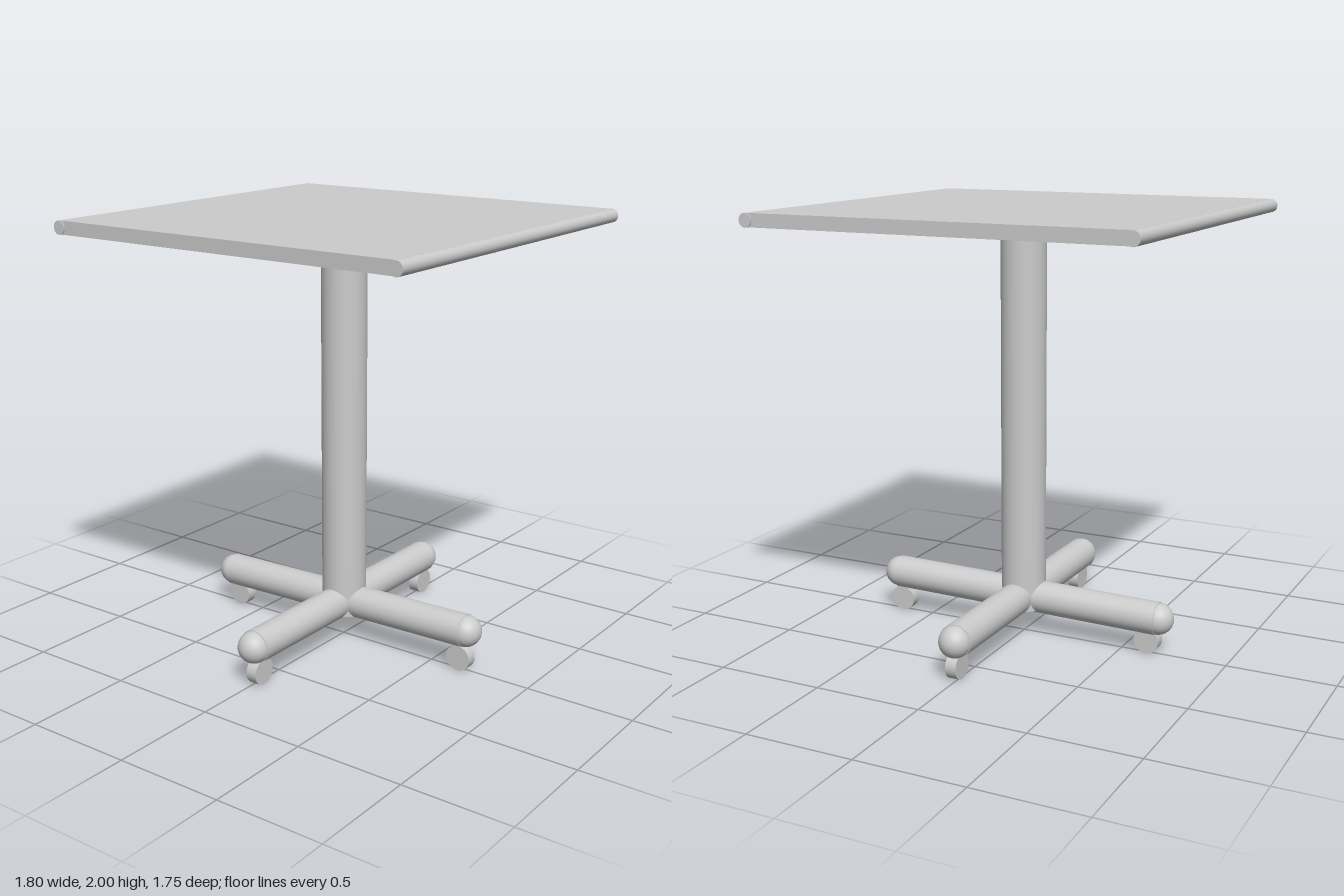
import * as THREE from 'three';

const material = new THREE.MeshStandardMaterial({ color: 0xcccccc });

function add(parent, name, geometry, x, y, z) {
  const mesh = new THREE.Mesh(geometry, material);
  mesh.name = name;
  mesh.position.set(x, y, z);
  parent.add(mesh);
  return mesh;
}

// One base leg: tube from the column to its rounded end, with a disc wheel below
function addLeg(parent, name, end, wheel) {
  const leg = new THREE.Group();
  leg.name = name;
  const hub = new THREE.Vector3(0.005, 0.18, 0);
  const direction = end.clone().sub(hub);
  const middle = hub.clone().add(end).multiplyScalar(0.5);
  const tube = add(leg, 'legTube', new THREE.CylinderGeometry(0.076, 0.076, direction.length(), 32), ...middle);
  tube.quaternion.setFromUnitVectors(new THREE.Vector3(0, 1, 0), direction.clone().normalize());
  add(leg, 'legEnd', new THREE.SphereGeometry(0.073, 32, 20), ...end);

  const disc = add(leg, 'wheel', new THREE.CylinderGeometry(0.06, 0.06, 0.052, 32), ...wheel);
  if (Math.abs(direction.x) > Math.abs(direction.z)) disc.rotation.x = Math.PI / 2;
  else disc.rotation.z = Math.PI / 2;
  parent.add(leg);
}

export function createModel() {
  const model = new THREE.Group();
  model.name = 'pedestalTable';

  // Table top with rounded rails along both sides
  const top = new THREE.Group();
  top.name = 'tableTop';
  add(top, 'topPanel', new THREE.BoxGeometry(1.74, 0.06, 1.74), 0, 1.97, 0);
  for (const side of [-1, 1]) {
    const rail = add(top, 'edgeRail', new THREE.CylinderGeometry(0.031, 0.031, 1.75, 24), side * 0.868, 1.969, 0);
    rail.rotation.x = Math.PI / 2;
  }
  model.add(top);

  // Column
  add(model, 'column', new THREE.CylinderGeometry(0.104, 0.104, 1.82, 48), 0.003, 1.035, 0);

  // Cross base; the side-to-side pair leans slightly
  const base = new THREE.Group();
  base.name = 'base';
  const v = (x, y, z) => new THREE.Vector3(x, y, z);
  addLeg(base, 'leftLeg', v(0.678, 0.19, 0), v(0.655, 0.06, 0.003));
  addLeg(base, 'rightLeg', v(-0.674, 0.168, 0), v(-0.625, 0.06, 0.003));
  addLeg(base, 'frontLeg', v(0.005, 0.18, 0.674), v(0.012, 0.06, 0.648));
  addLeg(base, 'backLeg', v(0.005, 0.18, -0.67), v(0.012, 0.06, -0.643));
  model.add(base);

  return model;
}
